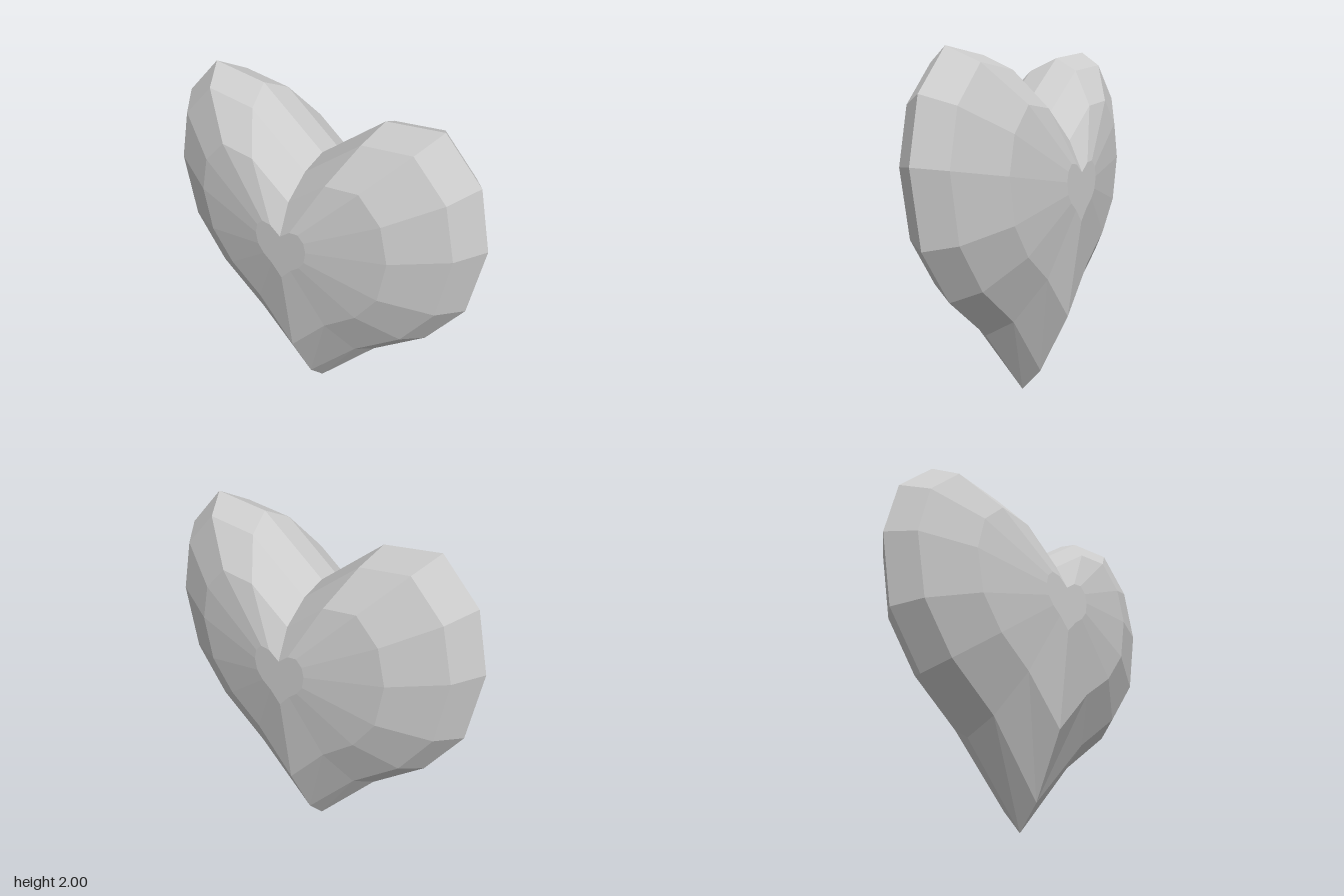
import * as THREE from 'three';

// Right half of the heart outline, from the top notch round to the bottom tip
const OUTLINE = [
  [0, 1.66], [0.38, 1.96], [0.707, 2], [0.924, 1.77], [1, 1.43],
  [0.924, 1.01], [0.707, 0.703], [0.38, 0.44], [0, 0],
];
const CENTRE_Y = 1.27;

// Rings shrink towards the centre as the body swells: scale, depth, depth at the tip
const RINGS = [
  [1, 0, 0], [0.89, 0.155, 0.125], [0.605, 0.305, 0.305], [0.165, 0.385, 0.385], [0, 0.385, 0.385],
];

function ringPoint(ring, i) {
  const [scale, depth, tipDepth] = RINGS[ring];
  const [x, y] = OUTLINE[i];
  const z = i === OUTLINE.length - 1 ? tipDepth : depth;
  return [x * scale, CENTRE_Y + (y - CENTRE_Y) * scale, z];
}

// One quarter of the heart, mirrored by the signs in x and z
function addQuarter(positions, sx, sz) {
  const triangle = (a, b, c) => {
    const corners = sx * sz > 0 ? [a, b, c] : [a, c, b];
    for (const [x, y, z] of corners) positions.push(x * sx, y, z * sz);
  };
  for (let r = 0; r < RINGS.length - 1; r++) {
    for (let i = 0; i < OUTLINE.length - 1; i++) {
      const outer = ringPoint(r, i), outerNext = ringPoint(r, i + 1);
      const inner = ringPoint(r + 1, i), innerNext = ringPoint(r + 1, i + 1);
      triangle(outerNext, outer, inner);
      // The last ring closes to a point, so it needs only one triangle
      if (r < RINGS.length - 2) triangle(outerNext, inner, innerNext);
    }
  }
}

export function createModel() {
  const positions = [];
  for (const sx of [1, -1]) for (const sz of [1, -1]) addQuarter(positions, sx, sz);

  const geometry = new THREE.BufferGeometry();
  geometry.setAttribute('position', new THREE.Float32BufferAttribute(positions, 3));
  geometry.computeVertexNormals();

  const heart = new THREE.Mesh(
    geometry,
    new THREE.MeshStandardMaterial({ color: 0xcccccc, flatShading: true }),
  );
  heart.name = 'heart';

  const model = new THREE.Group();
  model.name = 'facetedHeart';
  model.add(heart);
  return model;
}
